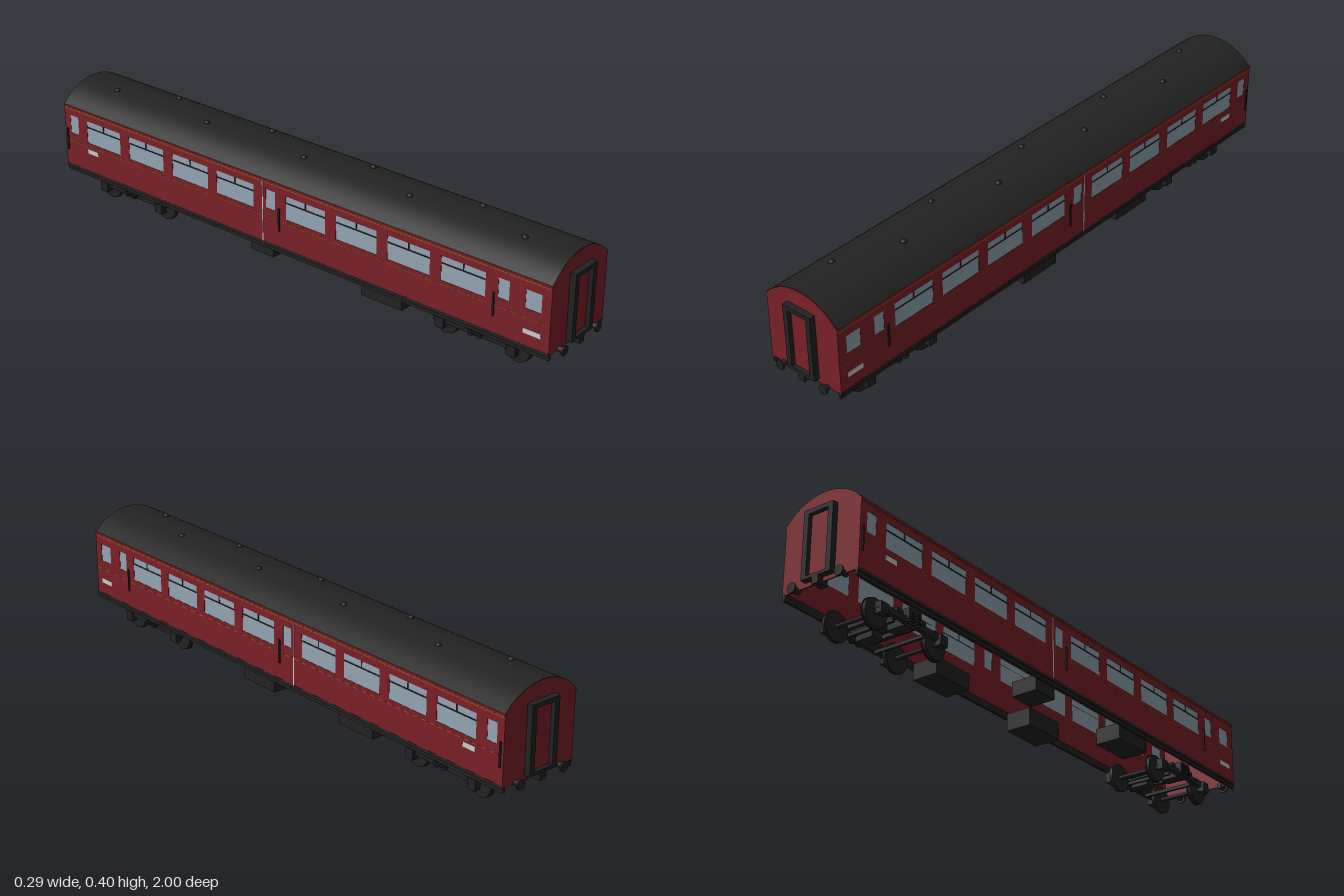
import * as THREE from 'three';

const mat = (color) => new THREE.MeshStandardMaterial({ color, side: THREE.DoubleSide });
const red = mat(0x7a2026), dark = mat(0x222222), glass = mat(0x92a4b2), pale = mat(0xcccccc), gold = mat(0x9a5a1c);

function add(parent, name, geometry, material, x = 0, y = 0, z = 0) {
  const mesh = new THREE.Mesh(geometry, material);
  mesh.name = name;
  mesh.position.set(x, y, z);
  parent.add(mesh);
  return mesh;
}
// Box given by its limits on each axis
function box(parent, name, material, x0, x1, y0, y1, z0, z1) {
  return add(parent, name, new THREE.BoxGeometry(Math.abs(x1 - x0), Math.abs(y1 - y0), Math.abs(z1 - z0)),
    material, (x0 + x1) / 2, (y0 + y1) / 2, (z0 + z1) / 2);
}
function rod(parent, name, material, r, length, axis, x, y, z, sides = 20) {
  const g = new THREE.CylinderGeometry(r, r, length, sides);
  if (axis === 'x') g.rotateZ(Math.PI / 2);
  if (axis === 'z') g.rotateX(Math.PI / 2);
  return add(parent, name, g, material, x, y, z);
}
function rectPath(path, x0, x1, y0, y1) {
  path.moveTo(x0, y0);
  path.lineTo(x1, y0);
  path.lineTo(x1, y1);
  path.lineTo(x0, y1);
  path.closePath();
  return path;
}

const HALF = 0.14, FLOOR = 0.105, EAVE = 0.325, END = 0.979;
const ROOF_R = 0.183, ROOF_Y = 0.207;
const eaveAngle = Math.atan2(EAVE - ROOF_Y, HALF);

// Windows as [z0, z1, y0, y1]
const saloonWindows = [0.6, 0.403, 0.206, 0.007, -0.282, -0.476, -0.674, -0.872]
  .map((z) => [z, z + 0.156, 0.214, 0.294]);
const smallWindows = [[0.893, 0.947, 0.23, 0.29], [0.8, 0.838, 0.23, 0.294],
  [-0.075, -0.037, 0.23, 0.294], [-0.952, -0.914, 0.23, 0.294]];

// One side of the body; s is +1 or -1
function bodySide(s) {
  const side = new THREE.Group();
  side.name = s > 0 ? 'leftSide' : 'rightSide';
  const shape = rectPath(new THREE.Shape(), -END, END, FLOOR, EAVE);
  const windows = [...saloonWindows, ...smallWindows];
  // shape x is -z after turning the panel to face sideways
  for (const [z0, z1, y0, y1] of windows) shape.holes.push(rectPath(new THREE.Path(), -z1, -z0, y0, y1));
  const wall = new THREE.ExtrudeGeometry(shape, { depth: 0.004, bevelEnabled: false });
  wall.rotateY(Math.PI / 2);
  add(side, 'sideWall', wall, red, s > 0 ? HALF - 0.004 : -HALF);

  const strip = (name, m, z0, z1, y0, y1, out = 0.0015) =>
    box(side, name, m, s * (HALF - 0.003), s * (HALF + out), y0, y1, z0, z1);
  for (const [z0, z1, y0, y1] of windows)
    box(side, 'windowGlass', glass, s * (HALF - 0.003), s * (HALF - 0.001), y0, y1, z0, z1);
  // Sliding vents over the large windows
  for (const [z0, z1, , y1] of saloonWindows) {
    const mid = (z0 + z1) / 2;
    strip('windowTransom', dark, z0, z1, 0.269, 0.273, 0.0005);
    strip('windowVentBar', dark, mid - 0.002, mid + 0.002, 0.271, y1, 0.0005);
  }
  // Door handrails and door edge
  for (const z of [0.786, -0.02, -0.967]) strip('handrail', dark, z - 0.003, z + 0.003, 0.165, 0.243, 0.004);
  strip('doorEdge', pale, -0.0895, -0.086, 0.112, 0.318);
  // Number panels and lining
  strip('sidePanel', pale, 0.89, 0.95, 0.15, 0.166);
  strip('sidePanel', pale, -0.872, -0.824, 0.176, 0.192);
  strip('waistLine', gold, -END, END, 0.199, 0.201, 0.0006);
  strip('eaveLine', gold, -END, END, 0.316, 0.319, 0.0008);
  strip('gutter', red, -END, END, 0.32, 0.328, 0.002);
  // Frame beam under the wall
  box(side, 'solebar', dark, s * 0.129, s * 0.137, 0.088, 0.112, -END, END);
  strip('sill', dark, -END, END, 0.1, 0.111, 0.0005);
  return side;
}

// End wall, gangway, buffers and coupler, facing +z
function bodyEnd() {
  const end = new THREE.Group();
  const shape = new THREE.Shape();
  shape.moveTo(-HALF, FLOOR);
  shape.lineTo(HALF, FLOOR);
  shape.lineTo(HALF, EAVE);
  shape.absarc(0, ROOF_Y, ROOF_R, eaveAngle, Math.PI - eaveAngle, false);
  shape.closePath();
  add(end, 'endWall', new THREE.ExtrudeGeometry(shape, { depth: 0.005, bevelEnabled: false, curveSegments: 24 }), red, 0, 0, END - 0.005);
  const frame = rectPath(new THREE.Shape(), -0.054, 0.054, 0.118, 0.337);
  frame.holes.push(rectPath(new THREE.Path(), -0.036, 0.036, 0.128, 0.323));
  add(end, 'gangwayFrame', new THREE.ExtrudeGeometry(frame, { depth: 0.02, bevelEnabled: false }), dark, 0, 0, END);
  box(end, 'gangwayDoor', red, -0.036, 0.036, 0.128, 0.323, END, END + 0.006);
  for (const s of [-1, 1]) {
    rod(end, 'bufferShank', dark, 0.009, 0.03, 'z', s * 0.087, 0.107, END + 0.003);
    rod(end, 'bufferHead', dark, 0.016, 0.005, 'z', s * 0.087, 0.107, 0.9975);
  }
  box(end, 'coupler', dark, -0.012, 0.012, 0.095, 0.118, 0.96, 0.999);
  return end;
}

// Two-axle bogie about its own centre
function bogie() {
  const g = new THREE.Group();
  for (const z of [-0.128, 0.128]) {
    rod(g, 'axle', dark, 0.007, 0.21, 'x', 0, 0.048, z, 12);
    for (const s of [-1, 1]) {
      rod(g, 'wheelTread', dark, 0.045, 0.012, 'x', s * 0.073, 0.048, z, 28);
      rod(g, 'wheelFlange', dark, 0.048, 0.004, 'x', s * 0.067, 0.048, z, 28);
      box(g, 'axleBox', dark, s * 0.092, s * 0.113, 0.036, 0.07, z - 0.016, z + 0.016);
    }
    box(g, 'headstock', dark, -0.1, 0.1, 0.074, 0.087, z * 0.42 - 0.008, z * 0.42 + 0.008);
    box(g, 'brakeBeam', dark, -0.09, 0.09, 0.043, 0.054, z * 0.5 - 0.005, z * 0.5 + 0.005);
  }
  for (const s of [-1, 1]) {
    box(g, 'sideFrame', dark, s * 0.09, s * 0.104, 0.052, 0.072, -0.145, 0.145);
    box(g, 'springHanger', dark, s * 0.086, s * 0.112, 0.064, 0.098, -0.026, 0.026);
    // Coil springs
    for (const z of [-0.014, 0.014])
      for (let i = 0; i < 4; i++) {
        const coil = add(g, 'springCoil', new THREE.TorusGeometry(0.009, 0.003, 6, 14), dark, s * 0.108, 0.058 + i * 0.008, z);
        coil.rotation.x = Math.PI / 2;
      }
    box(g, 'bolsterEnd', dark, s * 0.028, s * 0.09, 0.05, 0.085, -0.022, 0.022);
  }
  box(g, 'bolster', dark, -0.09, 0.09, 0.076, 0.09, -0.03, 0.03);
  return g;
}

export function createModel() {
  const model = new THREE.Group();
  model.name = 'railwayCoach';

  for (const s of [-1, 1]) {
    model.add(bodySide(s));
    const end = bodyEnd();
    end.name = s > 0 ? 'frontEnd' : 'backEnd';
    end.rotation.y = s > 0 ? 0 : Math.PI;
    model.add(end);
    const truck = bogie();
    truck.name = s > 0 ? 'frontBogie' : 'backBogie';
    truck.position.z = s * 0.706;
    model.add(truck);
  }

  // Curved roof skin
  const arc = new THREE.Shape();
  arc.absarc(0, ROOF_Y, ROOF_R + 0.0015, eaveAngle, Math.PI - eaveAngle, false);
  arc.absarc(0, ROOF_Y, ROOF_R - 0.003, Math.PI - eaveAngle, eaveAngle, true);
  arc.closePath();
  add(model, 'roof', new THREE.ExtrudeGeometry(arc, { depth: 1.956, bevelEnabled: false, curveSegments: 24 }), dark, 0, 0, -0.978);

  // Staggered roof vents
  for (let i = 0; i < 9; i++) {
    const x = i % 2 ? 0.042 : -0.042, z = -0.82 + i * 0.2045;
    rod(model, 'roofVentBase', dark, 0.006, 0.012, 'y', x, 0.385, z, 14);
    const cap = add(model, 'roofVentCap', new THREE.SphereGeometry(0.01, 14, 6, 0, Math.PI * 2, 0, Math.PI / 2), dark, x, 0.387, z);
    cap.scale.y = 0.9;
  }

  // Equipment boxes below the floor: [x side, z0, z1, bottom]
  for (const [s, z0, z1, y] of [[-1, 0.294, 0.449, 0.048], [1, 0.027, 0.182, 0.043],
    [-1, -0.155, -0.06, 0.053], [1, -0.433, -0.278, 0.048]])
    box(model, 'equipmentBox', dark, s * 0.034, s * 0.124, y, 0.102, z0, z1);

  return model;
}
